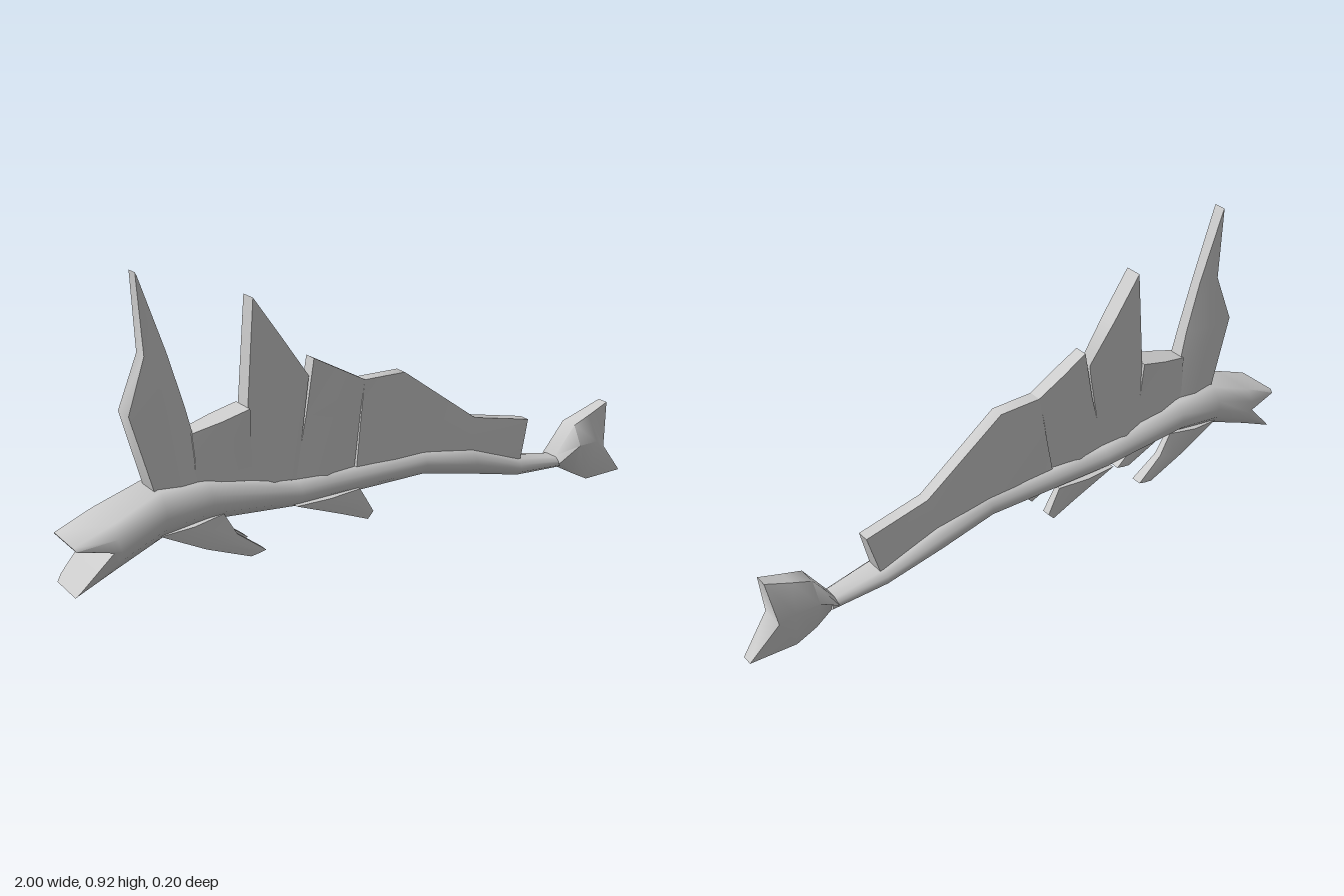
import * as THREE from 'three';
import { toCreasedNormals } from 'three/addons/utils/BufferGeometryUtils.js';

const material = new THREE.MeshStandardMaterial({ color: 0xcccccc, side: THREE.DoubleSide });

// Skins rings into a closed solid. Each ring lists [x, y, halfWidth] down one side; the other side mirrors it in z.
function loft(name, rings, z = 0) {
  const n = rings[0].length, m = n * 2;
  const pos = [], idx = [];
  for (const ring of rings) {
    for (const [x, y, w] of ring) pos.push(x, y, w);
    for (const [x, y, w] of [...ring].reverse()) pos.push(x, y, -w);
  }
  const quad = (a, b, c, d) => idx.push(a, b, c, a, c, d);
  for (let j = 0; j < rings.length - 1; j++) {
    for (let k = 0; k < m; k++) {
      const k2 = (k + 1) % m;
      quad(j * m + k, j * m + k2, (j + 1) * m + k2, (j + 1) * m + k);
    }
  }
  const e = (rings.length - 1) * m;
  for (let i = 0; i < n - 1; i++) {
    quad(i + 1, i, m - 1 - i, m - 2 - i);
    quad(e + i, e + i + 1, e + m - 2 - i, e + m - 1 - i);
  }
  // Turn the faces outward if the enclosed volume comes out negative
  const p = (i) => new THREE.Vector3().fromArray(pos, i * 3);
  let volume = 0;
  for (let i = 0; i < idx.length; i += 3) volume += p(idx[i]).dot(p(idx[i + 1]).cross(p(idx[i + 2])));
  if (volume < 0) idx.reverse();
  const geo = new THREE.BufferGeometry();
  geo.setAttribute('position', new THREE.Float32BufferAttribute(pos, 3));
  geo.setIndex(idx);
  const mesh = new THREE.Mesh(toCreasedNormals(geo, 1.0), material);
  mesh.name = name;
  mesh.position.z = z;
  return mesh;
}

// Rounded body section at x
function section(x, top, bottom, w) {
  const h = top - bottom;
  return [
    [x, top, w * 0.62], [x, top - h * 0.28, w * 0.95], [x, top - h * 0.5, w],
    [x, bottom + h * 0.28, w * 0.95], [x, bottom, w * 0.55],
  ];
}

// Fin section: a chord from one edge to the other, with half-thicknesses at start, middle and end
function chord(x0, y0, x1, y1, w0, wm, w1) {
  return [[x0, y0, w0], [(x0 + x1) / 2, (y0 + y1) / 2, wm], [x1, y1, w1]];
}

export function createModel() {
  const model = new THREE.Group();
  model.name = 'fish';

  // Body; the first ring folds inward at its middle to form the open mouth
  model.add(loft('body', [
    [[-1, 0.2, 0.068], [-0.995, 0.192, 0.08], [-0.89, 0.17, 0.092], [-0.985, 0.07, 0.075], [-1, 0.052, 0.065]],
    [[-0.88, 0.247, 0.075], [-0.88, 0.21, 0.1], [-0.87, 0.17, 0.1], [-0.88, 0.14, 0.095], [-0.88, 0.11, 0.07]],
    section(-0.73, 0.305, 0.165, 0.097),
    section(-0.58, 0.3, 0.185, 0.087),
    section(-0.28, 0.24, 0.16, 0.068),
    section(0.17, 0.24, 0.167, 0.06),
    section(0.36, 0.21, 0.13, 0.068),
    section(0.55, 0.14, 0.085, 0.052),
    section(0.73, 0.11, 0.075, 0.038),
  ]));

  // Tail fluke with a notched trailing edge
  model.add(loft('tailFin', [
    [[0.715, 0.115, 0.02], [0.715, 0.1, 0.05], [0.715, 0.08, 0.02]],
    [[0.785, 0.212, 0.03], [0.785, 0.15, 0.064], [0.785, 0.042, 0.03]],
    [[0.85, 0.235, 0.026], [0.86, 0.15, 0.06], [0.85, 0.008, 0.024]],
    [[0.93, 0.265, 0.02], [0.907, 0.12, 0.04], [1, 0.01, 0.018]],
  ]));

  // Row of dorsal fins from head to tail
  model.add(loft('crestFin', [
    chord(-0.735, 0.28, -0.57, 0.28, 0.04, 0.05, 0.03),
    chord(-0.805, 0.53, -0.63, 0.53, 0.035, 0.042, 0.02),
    chord(-0.747, 0.69, -0.677, 0.69, 0.025, 0.032, 0.018),
    chord(-0.76, 0.925, -0.755, 0.915, 0.02, 0.02, 0.02),
  ]));
  model.add(loft('lowDorsalFin', [
    chord(-0.61, 0.27, -0.42, 0.25, 0.035, 0.048, 0.035),
    chord(-0.61, 0.37, -0.43, 0.38, 0.035, 0.047, 0.035),
    chord(-0.615, 0.445, -0.435, 0.49, 0.03, 0.043, 0.043),
  ]));
  model.add(loft('tallDorsalFin', [
    chord(-0.455, 0.24, -0.28, 0.22, 0.035, 0.05, 0.03),
    chord(-0.435, 0.5, -0.235, 0.5, 0.03, 0.04, 0.022),
    chord(-0.41, 0.81, -0.228, 0.55, 0.028, 0.028, 0.022),
  ]));
  model.add(loft('middleDorsalFin', [
    chord(-0.29, 0.22, -0.08, 0.22, 0.03, 0.045, 0.03),
    chord(-0.24, 0.43, -0.05, 0.42, 0.024, 0.036, 0.024),
    chord(-0.21, 0.6, -0.033, 0.505, 0.022, 0.024, 0.022),
  ]));
  model.add(loft('longDorsalFin', [
    chord(-0.08, 0.2, -0.035, 0.505, 0.04, 0.03, 0.022),
    chord(0.06, 0.2, 0.11, 0.505, 0.042, 0.036, 0.022),
    chord(0.33, 0.18, 0.38, 0.31, 0.042, 0.034, 0.02),
    chord(0.555, 0.115, 0.595, 0.265, 0.03, 0.026, 0.02),
  ]));

  // Paired swept-back fins under the body
  for (const [side, s] of [['left', 1], ['right', -1]]) {
    model.add(loft(side + 'PectoralFin', [
      chord(-0.74, 0.175, -0.54, 0.2, 0.012, 0.025, 0.01),
      chord(-0.6, 0.105, -0.5, 0.13, 0.014, 0.024, 0.012),
      chord(-0.46, 0.052, -0.41, 0.062, 0.018, 0.02, 0.018),
    ], s * 0.056));
    model.add(loft(side + 'PelvicFin', [
      chord(-0.3, 0.17, -0.08, 0.18, 0.01, 0.02, 0.01),
      chord(-0.15, 0.115, -0.06, 0.145, 0.012, 0.018, 0.012),
      chord(-0.055, 0.078, -0.035, 0.1, 0.014, 0.015, 0.014),
    ], s * 0.056));
  }
  return model;
}
